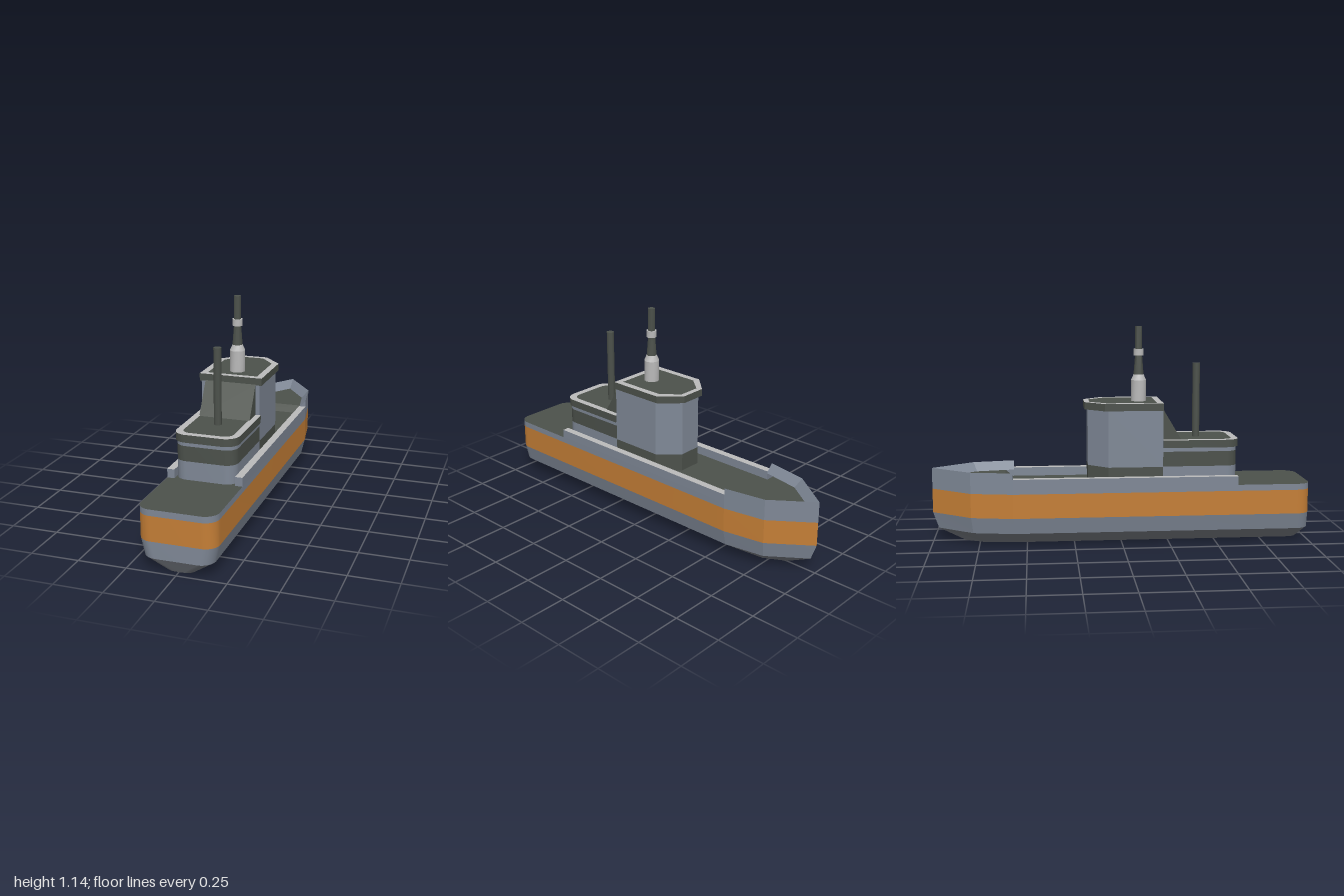
import * as THREE from 'three';
import { toCreasedNormals } from 'three/addons/utils/BufferGeometryUtils.js';

const material = (name, color) => {
  const m = new THREE.MeshStandardMaterial({ color });
  m.name = name;
  return m;
};

// Mirror half an outline of [x, z] points (x >= 0, bow to stern) into a closed loop
const mirror = (half) => [
  ...half,
  ...half.filter(([x]) => x > 0).reverse().map(([x, z]) => [-x, z]),
];

// Mirror half an outline into an open line running round the bow
const roundBow = (half) => [
  ...half.slice(1).reverse().map(([x, z]) => [-x, z]),
  ...half,
];

// Rounded stern corner ending on a flat transom
function corner(w, z, r, steps = 12) {
  const pts = [];
  for (let i = 0; i <= steps; i++) {
    const a = (i / steps) * Math.PI / 2;
    pts.push([w - r + r * Math.cos(a), z - r + r * Math.sin(a)]);
  }
  return pts;
}

const toVectors = (pts) => pts.map(([x, z]) => new THREE.Vector2(x, -z));

// Upright prism over a plan outline
function prism(outline, y0, y1, hole) {
  const shape = new THREE.Shape(toVectors(outline));
  if (hole) shape.holes.push(new THREE.Path(toVectors(hole)));
  const g = new THREE.ExtrudeGeometry(shape, { depth: y1 - y0, bevelEnabled: false });
  g.rotateX(-Math.PI / 2).translate(0, y0, 0);
  return toCreasedNormals(g, 0.15);
}

// Prism across the boat from a side profile of [z, y] points
function crossPrism(profile, width) {
  const shape = new THREE.Shape(profile.map(([z, y]) => new THREE.Vector2(z, y)));
  const g = new THREE.ExtrudeGeometry(shape, { depth: width, bevelEnabled: false });
  return g.translate(0, 0, -width / 2).rotateY(-Math.PI / 2);
}

// Skin between two plan outlines at different heights
function loft(lower, y0, upper, y1, closed = true) {
  const pos = [];
  const n = lower.length;
  for (let i = 0; i < (closed ? n : n - 1); i++) {
    const j = (i + 1) % n;
    const a = [lower[i][0], y0, lower[i][1]], b = [lower[j][0], y0, lower[j][1]];
    const c = [upper[j][0], y1, upper[j][1]], d = [upper[i][0], y1, upper[i][1]];
    pos.push(...a, ...c, ...b, ...a, ...d, ...c);
  }
  const g = new THREE.BufferGeometry();
  g.setAttribute('position', new THREE.Float32BufferAttribute(pos, 3));
  return toCreasedNormals(g, 0.15);
}

export function createModel() {
  const model = new THREE.Group();
  model.name = 'tugboat';
  const blue = material('blue grey paint', 0x7f8896);
  const orange = material('orange stripe', 0xc47e36);
  const dark = material('dark deck green', 0x4c514b);
  const keel = material('keel grey', 0x74787f);
  const light = material('light grey trim', 0xbababa);

  const add = (name, geometry, mat, parent = model) => {
    const mesh = new THREE.Mesh(geometry, mat);
    mesh.name = name;
    parent.add(mesh);
    return mesh;
  };
  const group = (name) => {
    const g = new THREE.Group();
    g.name = name;
    model.add(g);
    return g;
  };

  // Hull
  const hull = group('hull');
  const bottom = mirror([[0, -0.83], [0.06, -0.72], [0.075, -0.57], ...corner(0.075, 0.96, 0.05)]);
  const chine = mirror([[0, -0.97], [0.138, -0.78], [0.175, -0.57], ...corner(0.175, 1, 0.07)]);
  const side = mirror([[0, -1], [0.155, -0.79], [0.195, -0.57], ...corner(0.195, 1, 0.07)]);
  add('hullBottom', prism(bottom, 0, 0.005), keel, hull);
  add('bilge', loft(bottom, 0, chine, 0.07), keel, hull);
  add('lowerHull', loft(chine, 0.07, side, 0.155), blue, hull);
  add('hullStripe', loft(side, 0.155, side, 0.283), orange, hull);
  add('upperHullAndDeck', prism(side, 0.283, 0.315), [dark, blue], hull);

  // Side bulwarks with light rails
  for (const s of [-1, 1]) {
    const wall = new THREE.BoxGeometry(0.038, 0.042, 1.18);
    add('sideBulwark', wall, blue, hull).position.set(s * 0.176, 0.336, 0.02);
    const cap = new THREE.BoxGeometry(0.038, 0.004, 1.18);
    const top = [blue, blue, light, blue, blue, blue];
    add('bulwarkRail', cap, top, hull).position.set(s * 0.176, 0.359, 0.02);
  }

  // Bow bulwark: upright outside, sloping inward to the foredeck
  const outer = roundBow([[0, -1], [0.155, -0.79], [0.195, -0.57]]);
  const inner = roundBow([[0, -0.935], [0.12, -0.77], [0.157, -0.57]]);
  const innerBack = [...inner].reverse();
  add('bowBulwarkOutside', loft(outer, 0.315, outer, 0.395, false), blue, hull);
  add('bowBulwarkSlope', loft(innerBack, 0.35, [...outer].reverse(), 0.395, false), blue, hull);
  add('bowBulwarkFoot', loft(innerBack, 0.315, innerBack, 0.35, false), blue, hull);
  for (const s of [-1, 1]) {
    const end = [[0.157, 0.315], [0.195, 0.315], [0.195, 0.395], [0.157, 0.35]];
    const shape = new THREE.Shape(end.map(([x, y]) => new THREE.Vector2(s * x, y)));
    add('bowBulwarkEnd', new THREE.ShapeGeometry(shape), blue, hull).position.z = -0.57;
  }

  // Raised foredeck with its ramp
  const foredeck = mirror([[0, -0.935], [0.12, -0.77], [0.149, -0.615]]);
  add('foredeck', prism(foredeck, 0.315, 0.35), dark, hull);
  add('foredeckRamp', crossPrism([[-0.575, 0.315], [-0.615, 0.35], [-0.615, 0.315]], 0.312), dark, hull);

  // A dark roof slab with a light border on top
  const roof = (name, outline, hole, y0, y1, parent) => {
    add(name, prism(outline, y0, y1 - 0.003), dark, parent);
    add(name + 'Border', prism(outline, y1 - 0.003, y1, hole), [light, dark], parent);
  };

  // Rear deckhouse
  const house = group('deckhouse');
  const houseWall = mirror([[0.157, 0.215], ...corner(0.157, 0.61, 0.06)]);
  add('houseLowerWall', prism(houseWall, 0.315, 0.412), blue, house);
  add('houseWindowBand', prism(houseWall, 0.412, 0.49), dark, house);
  add('houseUpperWall', prism(houseWall, 0.49, 0.511), blue, house);
  roof('houseRoof',
    mirror([[0.164, 0.217], ...corner(0.164, 0.62, 0.07)]),
    mirror([[0.13, 0.22], ...corner(0.13, 0.585, 0.045)]), 0.511, 0.551, house);
  add('slopedCasing', crossPrism([[0.2, 0.547], [0.315, 0.547], [0.217, 0.712], [0.2, 0.712]], 0.27), dark, house);

  // Bridge tower
  const tower = group('bridgeTower');
  const towerWall = mirror([[0.062, -0.175], [0.157, -0.072], [0.157, 0.215]]);
  add('towerBase', prism(towerWall, 0.315, 0.41), dark, tower);
  add('towerWall', prism(towerWall, 0.41, 0.71), blue, tower);
  roof('towerRoof',
    mirror([[0.07, -0.193], [0.167, -0.09], [0.167, 0.217]]),
    mirror([[0.058, -0.165], [0.133, -0.077], [0.133, 0.185]]), 0.708, 0.746, tower);

  // Main mast: [name, bottom y, top y, bottom radius, top radius, material]
  const mast = group('mainMast');
  for (const [name, y0, y1, r0, r1, mat] of [
    ['mastFoot', 0.74, 0.855, 0.04, 0.04, light],
    ['mastShoulder', 0.855, 0.885, 0.04, 0.027, light],
    ['mastTaper', 0.885, 0.985, 0.027, 0.019, dark],
    ['mastCollar', 0.985, 1.02, 0.027, 0.027, light],
    ['mastTop', 1.02, 1.14, 0.019, 0.019, dark],
  ]) {
    const g = new THREE.CylinderGeometry(r1, r0, y1 - y0, 12);
    add(name, toCreasedNormals(g, 0.6), mat, mast).position.set(0, (y0 + y1) / 2, 0.1);
  }

  // Rear exhaust post
  const post = new THREE.CylinderGeometry(0.02, 0.02, 0.4, 12);
  add('rearPost', post, dark).position.set(0, 0.743, 0.41);

  return model;
}
